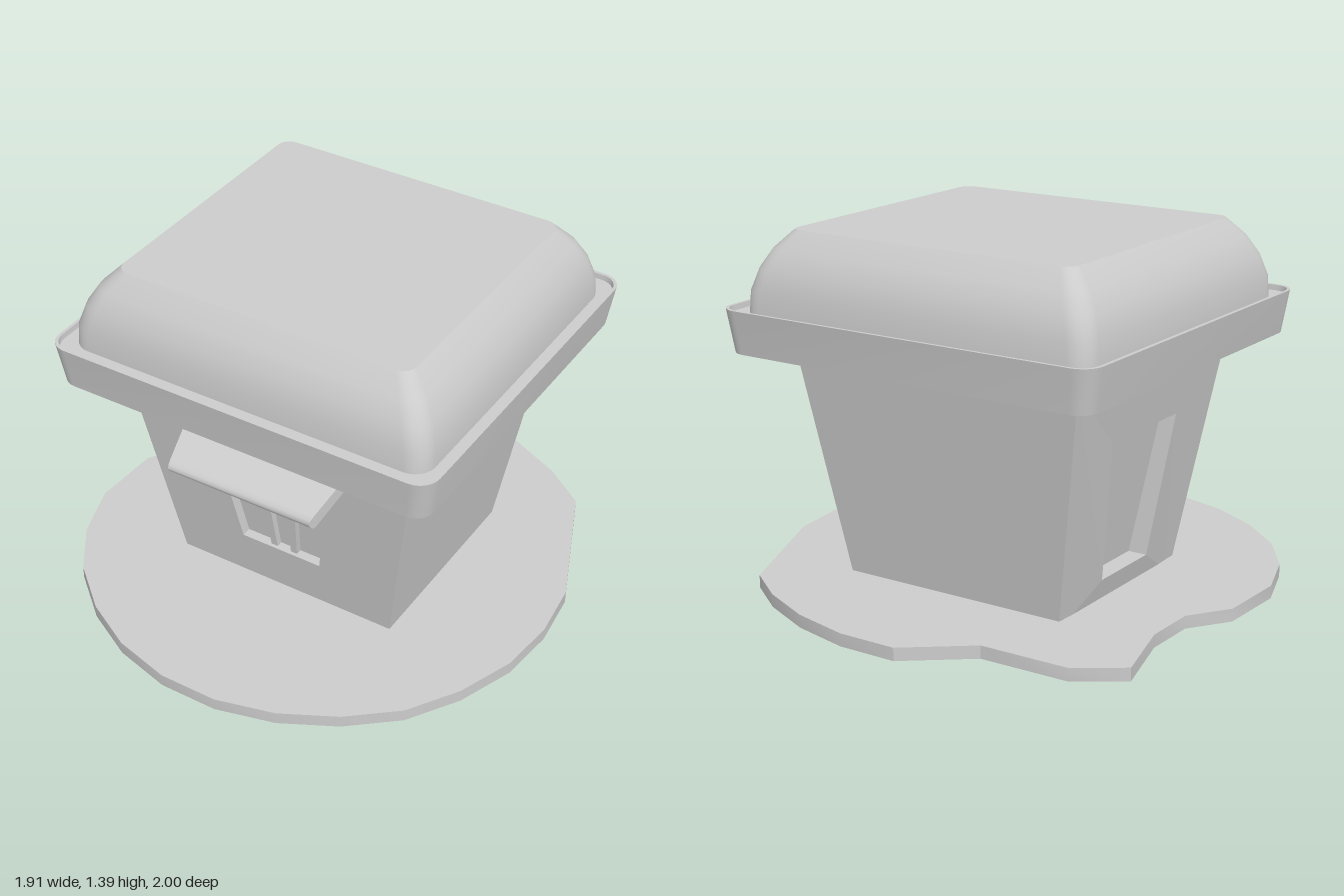
import * as THREE from 'three';
import { toCreasedNormals } from 'three/addons/utils/BufferGeometryUtils.js';

const CX = -0.016, CZ = -0.07;   // the building sits slightly off the plate's centre
const WINDOW_DEPTH = 0.04, DOOR_DEPTH = 0.065;
const BASE = 0.008, TOP = 0.95;
const DOOR_SILL = 0.135;
const halfX = y => 0.47 + 0.165 * (y - 0.05);
const halfZ = y => 0.41 + 0.138 * (y - 0.05);

const material = new THREE.MeshStandardMaterial({ color: 0xcccccc });

function part(name, geometry) {
  const mesh = new THREE.Mesh(geometry, material);
  mesh.name = name;
  return mesh;
}

// Move every vertex by a rule, then rebuild the normals
function reshape(geometry, rule) {
  const p = geometry.attributes.position, v = new THREE.Vector3();
  for (let i = 0; i < p.count; i++) {
    rule(v.fromBufferAttribute(p, i));
    p.setXYZ(i, v.x, v.y, v.z);
  }
  geometry.computeVertexNormals();
  return geometry;
}

const polygon = pts => pts.map(([x, y]) => new THREE.Vector2(x, y));

// Block whose x and z limits depend on height
function prism(y0, y1, limits) {
  return reshape(new THREE.BoxGeometry(1, 1, 1), v => {
    v.y = v.y < 0 ? y0 : y1;
    const [xa, xb, za, zb] = limits(v.y);
    v.x = v.x < 0 ? xa : xb;
    v.z = v.z < 0 ? za : zb;
  });
}

// Leaning wall slab with a tapered opening: [bottom y, top y, bottom half, top half]
function wall(left, right, face, depth, [y0, y1, w0, w1]) {
  const shape = new THREE.Shape(polygon([
    [left(BASE), BASE], [right(BASE), BASE], [right(TOP), TOP], [left(TOP), TOP]]));
  shape.holes.push(new THREE.Path(polygon([[-w0, y0], [-w1, y1], [w1, y1], [w0, y0]])));
  const geo = new THREE.ExtrudeGeometry(shape, { depth, bevelEnabled: false });
  return reshape(geo, v => { v.z += face(v.y) - depth; });
}

// Side wall with the doorway; the front edge of its sill is pulled slightly outwards
function doorWall() {
  const geo = wall(y => -halfZ(y), y => halfZ(y) - WINDOW_DEPTH, halfX, DOOR_DEPTH,
    [DOOR_SILL, 0.69, 0.16, 0.228]);
  return reshape(geo, v => {
    if (Math.abs(v.y - DOOR_SILL) < 0.001 && v.z > halfX(v.y) - 0.01) v.z += 0.012;
  }).rotateY(-Math.PI / 2);
}

// Closed loft through rounded rectangles: rows of [y, half x, half z, corner radius]
function roundedLoft(rows) {
  const STEPS = 6, pos = [], index = [], n = 4 * (STEPS + 1);
  for (const [y, hx, hz, r] of rows) {
    for (let c = 0; c < 4; c++) {
      const sx = c === 0 || c === 3 ? 1 : -1, sz = c < 2 ? 1 : -1;
      for (let s = 0; s <= STEPS; s++) {
        const a = (c + s / STEPS) * Math.PI / 2;
        pos.push(sx * (hx - r) + r * Math.cos(a), y, sz * (hz - r) + r * Math.sin(a));
      }
    }
  }
  for (let k = 0; k < rows.length - 1; k++) {
    for (let i = 0; i < n; i++) {
      const a = k * n + i, b = k * n + (i + 1) % n;
      index.push(a, a + n, b, b, a + n, b + n);
    }
  }
  const last = (rows.length - 1) * n;
  for (let i = 1; i < n - 1; i++) {
    index.push(0, i, i + 1);
    index.push(last, last + i + 1, last + i);
  }
  const geo = new THREE.BufferGeometry();
  geo.setAttribute('position', new THREE.Float32BufferAttribute(pos, 3));
  geo.setIndex(index);
  return toCreasedNormals(geo, 0.6);
}

// Irregular ground plate with a square opening under the building
function groundPlate() {
  const outline = [
    [-0.135, 1], [0.1, 1], [0.33, 0.94], [0.54, 0.83], [0.72, 0.68], [0.845, 0.485],
    [0.93, 0.26], [0.955, 0.03], [0.93, -0.2], [0.715, -0.72], [0.545, -0.845],
    [0.33, -0.945], [0.1, -1], [-0.135, -1], [-0.375, -0.815], [-0.735, -0.81],
    [-0.91, -0.69], [-0.83, -0.395], [-0.835, -0.18], [-0.945, -0.025], [-0.957, 0.26],
    [-0.88, 0.485], [-0.75, 0.675], [-0.57, 0.83], [-0.365, 0.94]];
  const shape = new THREE.Shape(polygon(outline.map(([x, z]) => [x, -z])));
  const hx = halfX(0.05), hz = halfZ(0.05);
  shape.holes.push(new THREE.Path(polygon(
    [[-1, -1], [-1, 1], [1, 1], [1, -1]].map(([a, b]) => [CX + a * hx, -CZ + b * hz]))));
  const geo = new THREE.ExtrudeGeometry(shape, { depth: 0.05, bevelEnabled: false });
  return toCreasedNormals(geo.rotateX(-Math.PI / 2), 0.6);
}

// Sloping awning with a rounded nose, narrower towards its outer edge
function awning() {
  const profile = new THREE.Shape(polygon([
    [0.42, 0.83], [0.42, 0.777], [0.607, 0.681], [0.618, 0.68], [0.63, 0.688],
    [0.64, 0.7], [0.642, 0.709], [0.636, 0.722], [0.62, 0.733]]));
  const geo = new THREE.ExtrudeGeometry(profile, { depth: 2, bevelEnabled: false });
  geo.translate(0, 0, -1).rotateY(-Math.PI / 2);
  reshape(geo, v => {
    v.x *= 0.346 - 0.2 * (v.z - 0.444);
    v.z -= CZ;
  });
  return toCreasedNormals(geo, 0.75);
}

export function createModel() {
  const model = new THREE.Group();
  model.name = 'kiosk';
  model.add(part('groundPlate', groundPlate()));

  const building = new THREE.Group();
  building.name = 'building';
  building.position.set(CX, 0, CZ);
  model.add(building);

  // Tapered body: solid core behind two walls with openings
  building.add(part('bodyCore', prism(BASE, TOP, y =>
    [-halfX(y) + DOOR_DEPTH, halfX(y), -halfZ(y), halfZ(y) - WINDOW_DEPTH])));
  building.add(part('frontWallWithWindow',
    wall(y => -halfX(y), halfX, halfZ, WINDOW_DEPTH, [0.25, 0.75, 0.173, 0.254])));
  building.add(part('rightWallWithDoorway', doorWall()));

  // Window bars
  for (const side of [-1, 1]) {
    building.add(part('windowBar', prism(0.25, 0.75, y => {
      const x = side * (0.044 + 0.055 * (y - 0.25)) + 0.005;
      return [x - 0.014, x + 0.014, halfZ(y) - WINDOW_DEPTH, halfZ(y) - 0.015];
    })));
  }
  building.add(part('awning', awning()));

  // Flared rim with a thin raised lip, and the domed roof set inside it
  building.add(part('rim', roundedLoft([
    [0.937, 0.775, 0.728, 0.07], [1.103, 0.801, 0.75, 0.08],
    [1.103, 0.789, 0.738, 0.07], [1.082, 0.786, 0.735, 0.07]])));
  building.add(part('roof', roundedLoft([
    [1.075, 0.745, 0.683, 0.08], [1.164, 0.74, 0.678, 0.08], [1.246, 0.715, 0.655, 0.08],
    [1.318, 0.673, 0.617, 0.07], [1.387, 0.607, 0.557, 0.05]])));
  return model;
}
